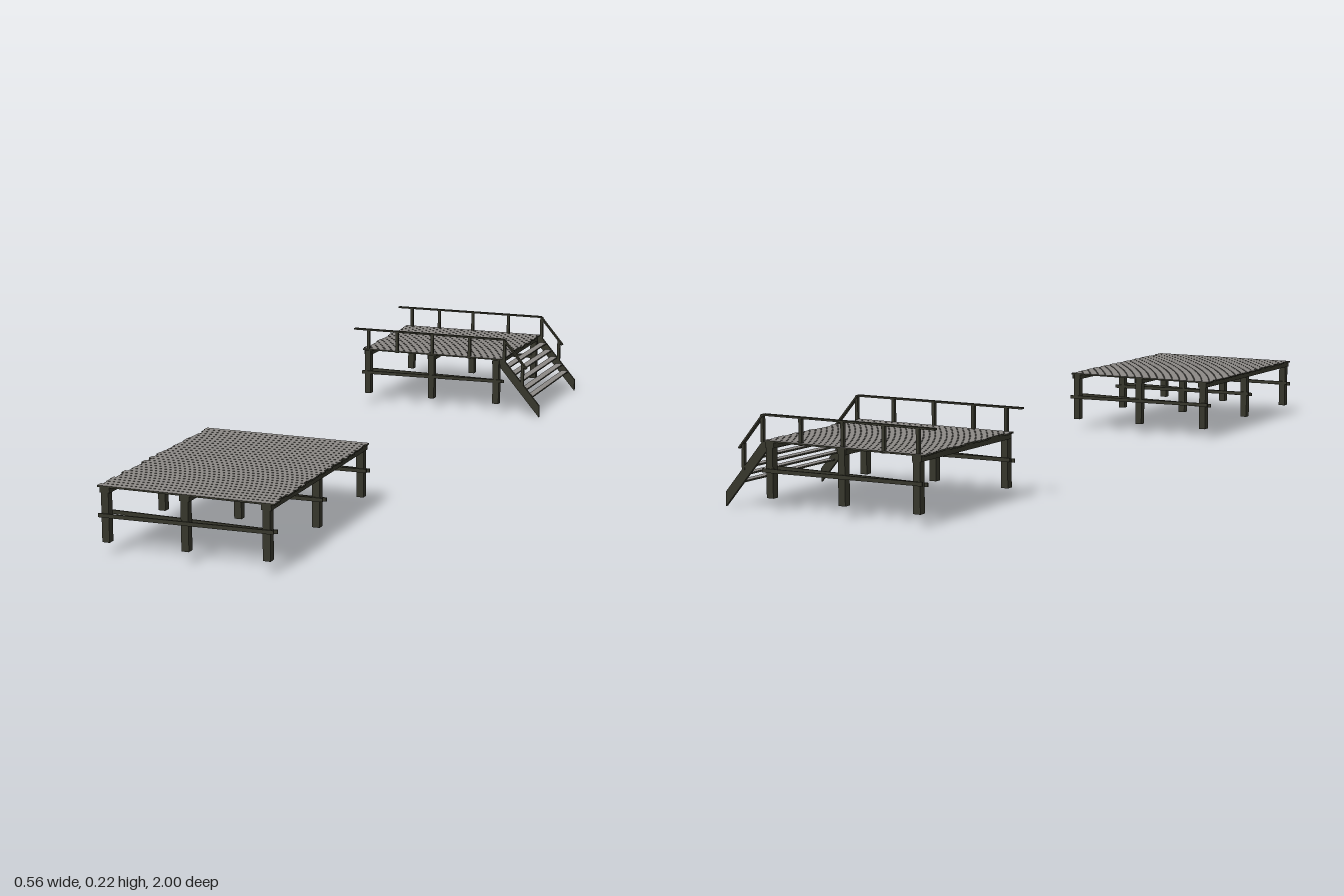
import * as THREE from 'three';

const darkWood = new THREE.MeshStandardMaterial({ color: 0x36362b });
const greyPlank = new THREE.MeshStandardMaterial({ color: 0x8c8986 });
darkWood.name = 'dark wood';
greyPlank.name = 'grey plank';
// weathered upper face, dark sides and underside
const plankFaces = [darkWood, darkWood, greyPlank, darkWood, darkWood, darkWood];

const POST_X = [-0.237, -0.043, 0.151];
const DECK_Y = 0.16;

function box(parent, name, size, pos, material = darkWood) {
  const mesh = new THREE.Mesh(new THREE.BoxGeometry(...size), material);
  mesh.name = name;
  mesh.position.set(...pos);
  parent.add(mesh);
  return mesh;
}

function seeded(seed) {
  return () => (seed = (seed * 16807) % 2147483647) / 2147483647;
}

// Deck on posts, spanning z0..z1, with a row of posts at each z in rows
function platform(name, z0, z1, rows, seed) {
  const group = new THREE.Group();
  group.name = name;
  const rand = seeded(seed);
  const length = z1 - z0;
  const midZ = (z0 + z1) / 2;

  // planks with uneven ends
  const count = Math.round(length / 0.0195);
  const pitch = length / count;
  for (let i = 0; i < count; i++) {
    const left = -0.253 + (rand() - 0.5) * 0.009;
    const right = 0.167 + (rand() - 0.5) * 0.009;
    box(group, 'deckPlank', [right - left, 0.004, pitch - 0.0018],
      [(left + right) / 2, DECK_Y - 0.002, z0 + (i + 0.5) * pitch], plankFaces);
  }

  for (const x of POST_X) {
    // paired beams clasping the posts
    for (const s of [-1, 1]) {
      box(group, 'deckBeam', [0.004, 0.012, length - 0.004], [x + s * 0.01, 0.15, midZ]);
    }
    for (const z of rows) {
      box(group, 'post', [0.018, 0.126, 0.018], [x, 0.093, z]);
    }
  }

  // paired cross braces on each row, slightly crooked
  for (const z of rows) {
    for (const s of [-1, 1]) {
      const brace = box(group, 'crossBrace', [0.422, 0.009, 0.004], [-0.042, 0.0945, z + s * 0.011]);
      brace.rotation.z = s * 0.011;
    }
  }
  return group;
}

// Railing along one edge, continuing down the stairs
function railing(z) {
  const group = new THREE.Group();
  group.name = 'railing';
  box(group, 'handrail', [0.452, 0.004, 0.012], [-0.054, 0.216, z]);
  for (const x of [-0.237, -0.149, -0.042, 0.07, 0.174]) {
    box(group, 'railPost', [0.008, 0.062, 0.008], [x, 0.185, z]);
  }
  const a = new THREE.Vector2(0.171, 0.216);
  const b = new THREE.Vector2(0.239, 0.136);
  const slope = box(group, 'stairHandrail', [a.distanceTo(b), 0.004, 0.012],
    [(a.x + b.x) / 2, (a.y + b.y) / 2, z]);
  slope.rotation.z = Math.atan2(b.y - a.y, b.x - a.x);
  box(group, 'stairRailPost', [0.008, 0.06, 0.008], [0.228, 0.117, z]);
  return group;
}

// Two sloping stringers with open treads between
function stairs(zNear, zFar) {
  const group = new THREE.Group();
  group.name = 'stairs';
  const side = new THREE.Shape([
    [0.163, 0.16], [0.173, 0.157], [0.279, 0.033], [0.279, 0], [0.163, 0.135],
  ].map(([x, y]) => new THREE.Vector2(x, y)));
  const geometry = new THREE.ExtrudeGeometry(side, { depth: 0.007, bevelEnabled: false });
  for (const z of [zNear, zFar]) {
    const stringer = new THREE.Mesh(geometry, darkWood);
    stringer.name = 'stringer';
    stringer.position.z = z - 0.0035;
    group.add(stringer);
  }
  for (let i = 0; i < 5; i++) {
    box(group, 'tread', [0.02, 0.004, zNear - zFar],
      [0.18 + i * 0.0172, 0.137 - i * 0.02, (zNear + zFar) / 2], plankFaces);
  }
  return group;
}

export function createModel() {
  const model = new THREE.Group();
  model.name = 'woodenPlatforms';

  model.add(platform('frontPlatform', 0.424, 0.996, [0.985, 0.71, 0.437], 11));

  const back = platform('backPlatform', -0.995, -0.612, [-0.618, -0.985], 57);
  const rails = [-0.617, -0.985];
  rails.forEach((z) => back.add(railing(z)));
  back.add(stairs(...rails));
  model.add(back);
  return model;
}
